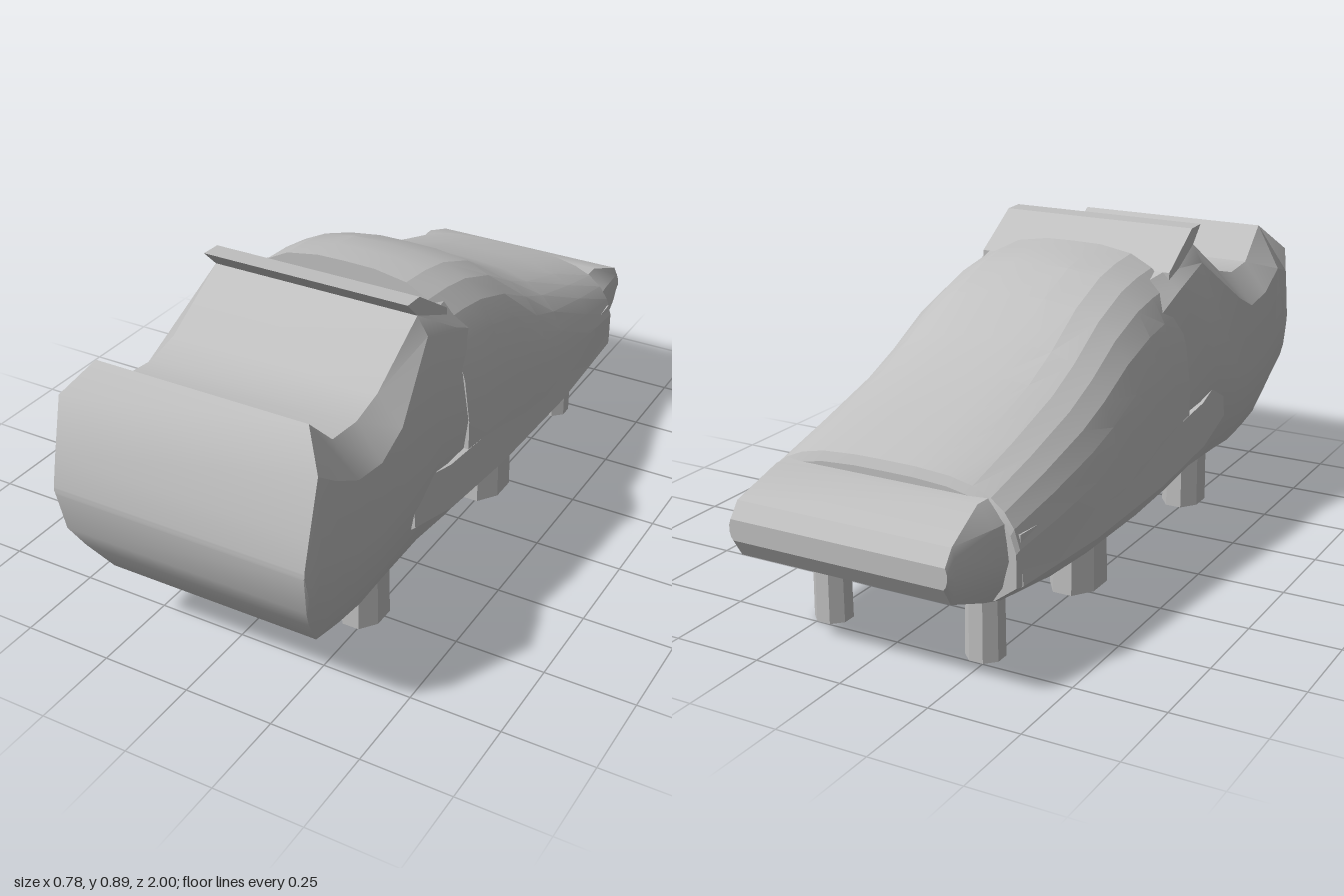
import * as THREE from 'three';
import { toCreasedNormals } from 'three/addons/utils/BufferGeometryUtils.js';

const grey = new THREE.MeshStandardMaterial({ color: 0xc0c0c0 });
grey.name = 'plain grey';

// Lofts closed rings, ordered from front (+z) to back, and caps both ends.
// Each ring is [z, points], points running counter-clockwise seen from +z.
function loft(rings, crease) {
  const pos = [], idx = [], n = rings[0][1].length, last = (rings.length - 1) * n;
  for (const [z, pts] of rings) for (const [x, y] of pts) pos.push(x, y, z);
  for (let i = 0; i < rings.length - 1; i++) {
    for (let j = 0; j < n; j++) {
      const a = i * n + j, b = i * n + (j + 1) % n;
      idx.push(a, a + n, b, a + n, b + n, b);
    }
  }
  for (let j = 0; j < n / 2 - 1; j++) {
    const a = j, b = j + 1, c = n - 2 - j, d = n - 1 - j;
    idx.push(a, b, c, a, c, d);
    idx.push(last + a, last + c, last + b, last + a, last + d, last + c);
  }
  const g = new THREE.BufferGeometry();
  g.setAttribute('position', new THREE.Float32BufferAttribute(pos, 3));
  g.setIndex(idx);
  return toCreasedNormals(g, crease);
}

// Completes a right-hand half section with its mirror image
const mirrored = (half) => [...half, ...half.slice().reverse().map(([x, y]) => [-x, y])];

export function createModel() {
  const model = new THREE.Group();
  model.name = 'sledBed';
  const add = (name, geometry) => {
    const mesh = new THREE.Mesh(geometry, grey);
    mesh.name = name;
    model.add(mesh);
    return mesh;
  };

  // Hull: z, bottom y, bottom width, side width, shoulder y, shoulder width, top y, top width
  const hull = [
    [1.0, 0.47, 0.355, 0.36, 0.485, 0.36, 0.49, 0.36],
    [0.98, 0.36, 0.35, 0.365, 0.53, 0.365, 0.57, 0.362],
    [0.94, 0.29, 0.33, 0.37, 0.65, 0.37, 0.72, 0.365],
    [0.87, 0.19, 0.305, 0.372, 0.67, 0.37, 0.8, 0.3],
    [0.77, 0.17, 0.305, 0.372, 0.615, 0.37, 0.705, 0.3],
    [0.66, 0.157, 0.305, 0.373, 0.6, 0.37, 0.695, 0.3],
    [0.56, 0.163, 0.305, 0.38, 0.645, 0.37, 0.72, 0.3],
    [0.36, 0.168, 0.305, 0.378, 0.79, 0.33, 0.84, 0.3],
    [0.2, 0.15, 0.305, 0.37, 0.74, 0.33, 0.79, 0.28],
    [0, 0.138, 0.305, 0.36, 0.64, 0.31, 0.74, 0.22],
    [-0.3, 0.138, 0.305, 0.36, 0.52, 0.31, 0.6, 0.22],
    [-0.5, 0.15, 0.305, 0.36, 0.44, 0.31, 0.51, 0.24],
    [-0.75, 0.185, 0.305, 0.355, 0.4, 0.34, 0.455, 0.29],
    [-0.83, 0.21, 0.305, 0.345, 0.405, 0.335, 0.458, 0.29],
    [-0.97, 0.262, 0.3, 0.315, 0.38, 0.312, 0.405, 0.305],
    [-1.0, 0.31, 0.3, 0.31, 0.35, 0.31, 0.365, 0.305],
  ];
  add('hull', loft(hull.map(([z, by, bw, mw, sy, sw, ty, tw]) => [z, mirrored([
    [bw, by],
    [bw + (mw - bw) * 0.6, by + (sy - by) * 0.2],
    [mw, by + (sy - by) * 0.55],
    [sw, sy],
    [tw, ty],
  ])]), 0.5));

  // Blanket: z, top y, half width
  const blanket = [
    [0.2, 0.85, 0.378], [0.1, 0.842, 0.382], [0, 0.823, 0.385], [-0.14, 0.768, 0.388],
    [-0.28, 0.682, 0.39], [-0.4, 0.623, 0.39], [-0.6, 0.556, 0.388], [-0.78, 0.5, 0.38], [-0.79, 0.475, 0.375],
  ];
  add('blanket', loft(blanket.map(([z, top, w]) => {
    const half = [[w - 0.065, 0.2], [w - 0.005, 0.245]];
    for (let k = 1; k <= 7; k++) {
      const a = (k / 7.4) * Math.PI / 2;
      half.push([w * Math.cos(a) ** 0.6, 0.25 + (top - 0.25) * Math.sin(a) ** 0.65]);
    }
    half.push([0.001, top]);
    return [z, mirrored(half)];
  }), 0.22));

  // Blanket hem along each side: z, lower y, upper y, outer x
  const hem = [
    [0.48, 0.25, 0.3, 0.365], [0.3, 0.22, 0.262, 0.38], [0, 0.197, 0.24, 0.387],
    [-0.4, 0.19, 0.235, 0.39], [-0.77, 0.21, 0.245, 0.378],
  ];
  for (const s of [1, -1]) {
    add(s > 0 ? 'leftHem' : 'rightHem', loft(hem.map(([z, lo, hi, x]) => {
      const pts = [[x - 0.06, lo], [x, hi], [x - 0.008, hi + 0.13], [x - 0.06, hi + 0.13]];
      return [z, s > 0 ? pts : pts.map(([px, py]) => [-px, py]).reverse()];
    }), 0.4));
  }

  // Headrest wedge with an overhanging lip
  const wedge = [[0.2, 0.76, 0.28], [0.36, 0.8, 0.3], [0.36, 0.84, 0.3], [0.41, 0.89, 0.3], [0.35, 0.888, 0.3], [0.2, 0.79, 0.28]];
  const shape = new THREE.Shape(wedge.map(([z, y]) => new THREE.Vector2(-z, y)));
  const lip = new THREE.ExtrudeGeometry(shape, { depth: 0.6, bevelEnabled: false });
  lip.translate(0, 0, -0.3).rotateY(Math.PI / 2);
  add('headrestLip', lip);

  // Three pairs of eight-sided feet: z, x radius, z radius, top y
  const feet = [['frontFoot', 0.505, 0.06, 0.08, 0.2], ['middleFoot', -0.2, 0.07, 0.1, 0.17], ['rearFoot', -0.7, 0.05, 0.05, 0.22]];
  for (const [name, z, rx, rz, top] of feet) {
    for (const s of [1, -1]) {
      const g = new THREE.CylinderGeometry(0.96, 1, top, 8).toNonIndexed();
      g.rotateY(Math.PI / 8).scale(rx * 1.04, 1, rz * 1.04);
      g.computeVertexNormals();
      add(name, g).position.set(s * 0.23, top / 2, z);
    }
  }
  return model;
}
